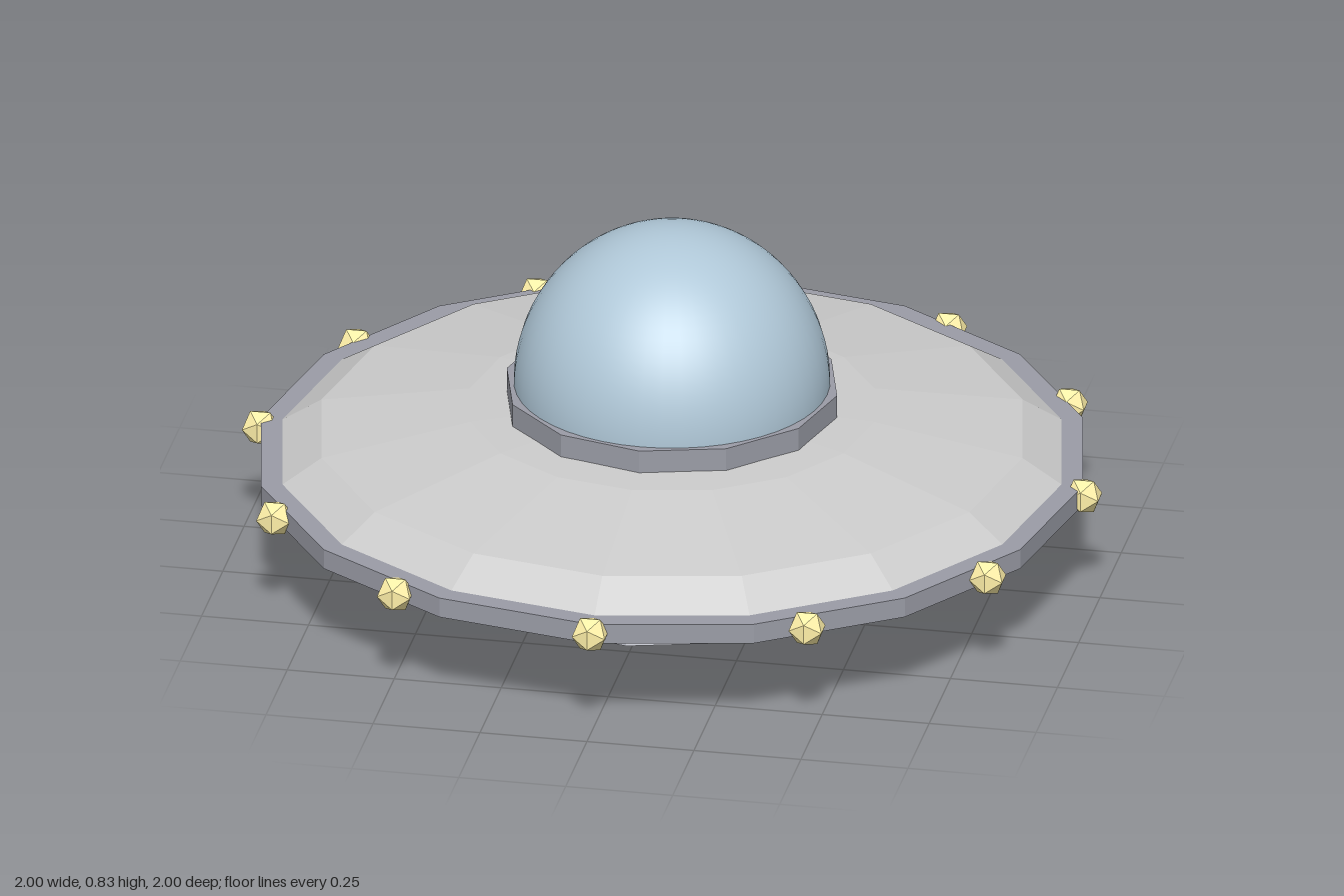
import * as THREE from 'three';

const paint = (color, flatShading = true) => new THREE.MeshStandardMaterial({ color, flatShading });

export function createModel() {
  const model = new THREE.Group();
  model.name = 'flyingSaucer';
  const hullGrey = paint(0xcccccc);
  const trimGrey = paint(0x9a9ca6);
  const glass = paint(0xb0c8d8, false);
  const glow = paint(0xb4f8c8);
  const lamp = paint(0xfff0a8);

  const add = (name, geometry, material, y, parent = model) => {
    const mesh = new THREE.Mesh(geometry, material);
    mesh.name = name;
    mesh.position.y = y;
    parent.add(mesh);
    return mesh;
  };

  // Faceted saucer body: a squashed low-poly sphere
  const hull = new THREE.SphereGeometry(0.946, 16, 6);
  hull.scale(1, 0.163 / 0.946, 1);
  add('hull', hull, hullGrey, 0.255);

  // Band around the widest edge
  add('rim', new THREE.CylinderGeometry(0.96, 0.96, 0.048, 16), trimGrey, 0.254);

  // Cockpit collar and smooth glass dome
  add('collar', new THREE.CylinderGeometry(0.386, 0.386, 0.063, 12), trimGrey, 0.4235);
  const dome = new THREE.SphereGeometry(0.363, 48, 24, 0, Math.PI * 2, 0, Math.PI * 0.53);
  dome.scale(1, 1.045, 1);
  add('dome', dome, glass, 0.455);

  // Flared skirt and glowing emitter underneath
  add('skirt', new THREE.CylinderGeometry(0.45, 0.545, 0.09, 12), trimGrey, 0.08);
  add('emitter', new THREE.CylinderGeometry(0.363, 0.363, 0.06, 12), glow, 0.03);

  // Ring of twelve faceted lamps
  const lamps = new THREE.Group();
  lamps.name = 'rimLights';
  model.add(lamps);
  const lampGeometry = new THREE.IcosahedronGeometry(0.045, 0);
  for (let i = 0; i < 12; i++) {
    const a = (i / 12) * Math.PI * 2;
    const light = add('rimLight', lampGeometry, lamp, 0.254, lamps);
    light.position.x = Math.cos(a) * 0.962;
    light.position.z = Math.sin(a) * 0.962;
  }
  return model;
}
